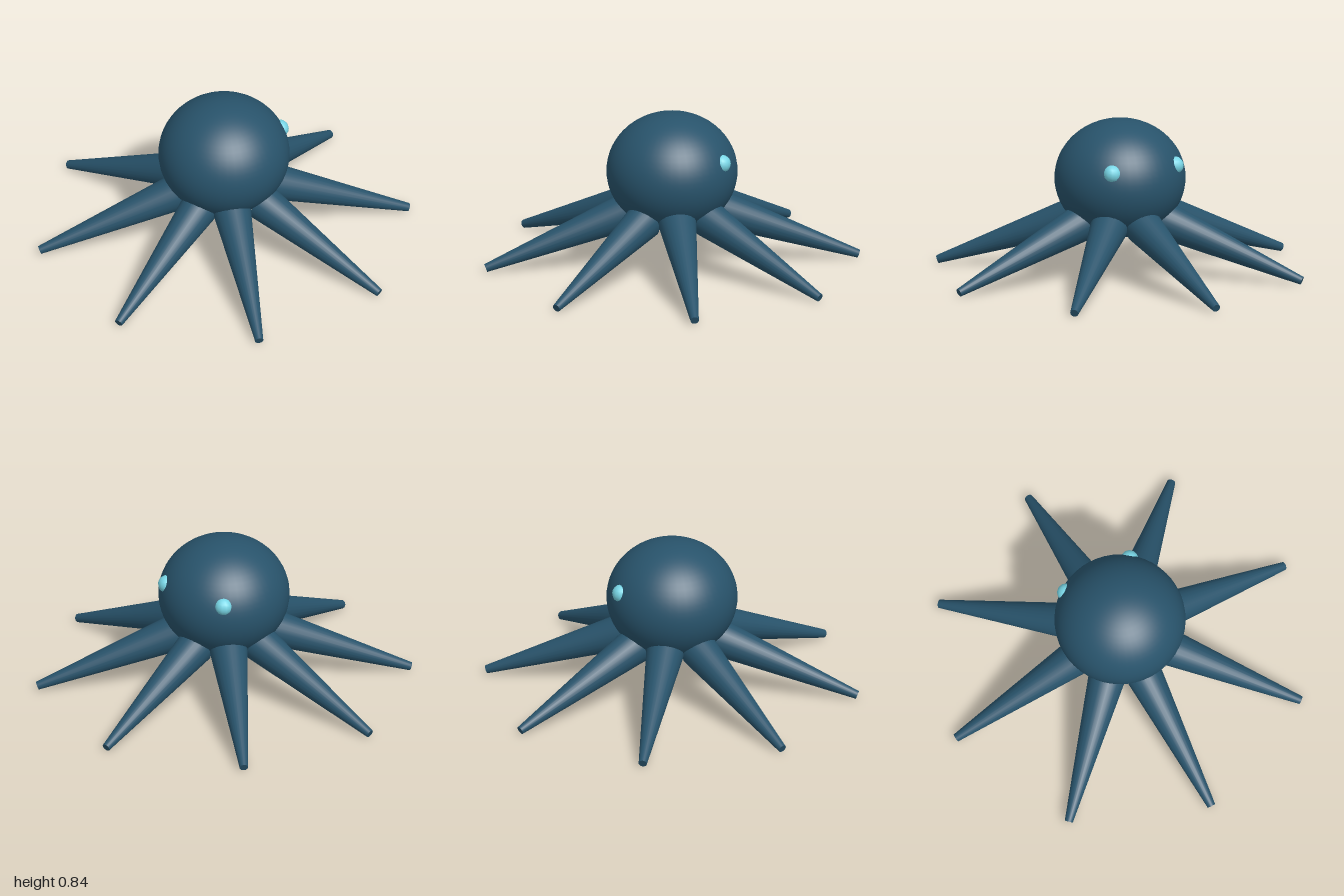
import * as THREE from 'three';

const ARM_COUNT = 8;

export function createModel() {
  const skin = new THREE.MeshStandardMaterial({ color: 0x28536b });
  skin.name = 'deepTeal';
  const eyeColor = new THREE.MeshStandardMaterial({ color: 0x78d6e6 });
  eyeColor.name = 'paleCyan';

  const model = new THREE.Group();
  model.name = 'octopus';

  // Slightly flattened round body
  const body = new THREE.Mesh(new THREE.SphereGeometry(0.347, 48, 32), skin);
  body.name = 'body';
  body.scale.y = 0.315 / 0.347;
  body.position.y = 0.525;
  model.add(body);

  // Eight tapered arms sloping from under the body to the ground
  const root = new THREE.Vector3(0.24, 0.307, 0);
  const tip = new THREE.Vector3(0.992, 0.021, 0);
  const axis = root.clone().sub(tip);
  const armGeometry = new THREE.CylinderGeometry(0.1, 0.022, axis.length(), 24);
  armGeometry.applyQuaternion(
    new THREE.Quaternion().setFromUnitVectors(new THREE.Vector3(0, 1, 0), axis.clone().normalize())
  );
  const middle = root.clone().add(tip).multiplyScalar(0.5);
  armGeometry.translate(middle.x, middle.y, middle.z);

  const arms = new THREE.Group();
  arms.name = 'arms';
  for (let i = 0; i < ARM_COUNT; i++) {
    const arm = new THREE.Mesh(armGeometry, skin);
    arm.name = `arm${i + 1}`;
    arm.rotation.y = (i / ARM_COUNT) * Math.PI * 2;
    arms.add(arm);
  }
  model.add(arms);

  // Small eyes half sunk into the body
  const eyeGeometry = new THREE.SphereGeometry(0.048, 12, 10);
  for (const side of [1, -1]) {
    const eye = new THREE.Mesh(eyeGeometry, eyeColor);
    eye.name = side > 0 ? 'leftEye' : 'rightEye';
    eye.position.set(side * 0.192, 0.617, -0.242);
    model.add(eye);
  }

  return model;
}
